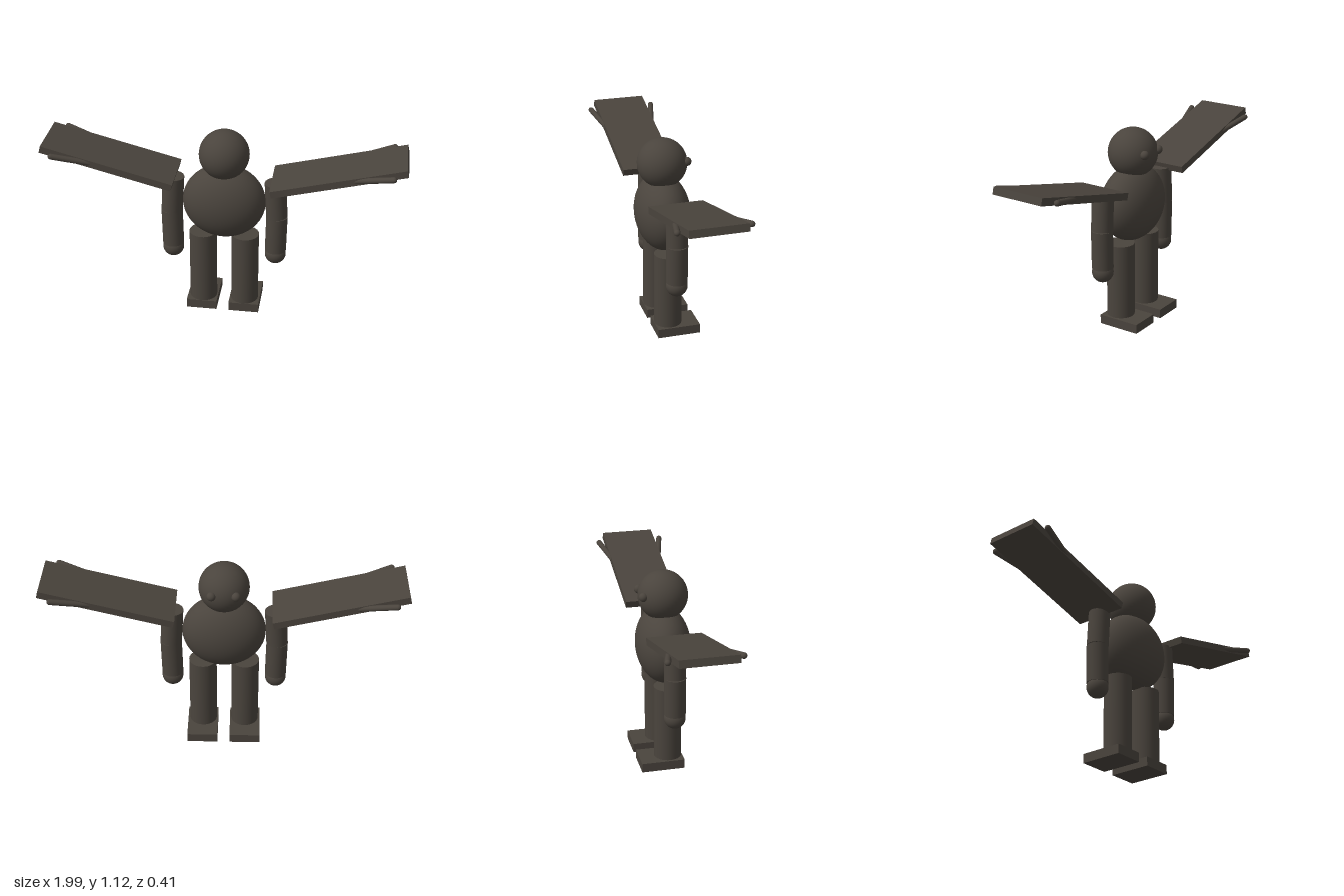
import * as THREE from 'three';

export function createModel() {
  const model = new THREE.Group();
  model.name = 'wingedFigure';
  const material = new THREE.MeshStandardMaterial({ color: 0x4a443d });
  material.name = 'dark brown';

  const add = (name, geometry, x, y, z, parent = model) => {
    const mesh = new THREE.Mesh(geometry, material);
    mesh.name = name;
    mesh.position.set(x, y, z);
    parent.add(mesh);
    return mesh;
  };

  // Round limb segment between two points
  const up = new THREE.Vector3(0, 1, 0);
  const limb = (name, a, b, radius, rounded = false, parent = model) => {
    const start = new THREE.Vector3(...a);
    const axis = new THREE.Vector3(...b).sub(start);
    const length = axis.length();
    const geometry = rounded
      ? new THREE.CapsuleGeometry(radius, length, 6, 16)
      : new THREE.CylinderGeometry(radius, radius, length, 32);
    const middle = start.addScaledVector(axis, 0.5);
    const mesh = add(name, geometry, middle.x, middle.y, middle.z, parent);
    mesh.quaternion.setFromUnitVectors(up, axis.normalize());
    return mesh;
  };

  // Torso and head
  add('torso', new THREE.SphereGeometry(1, 48, 32), 0, 0.69, 0).scale.set(0.232, 0.217, 0.152);
  add('head', new THREE.SphereGeometry(0.139, 40, 28), 0, 0.981, 0);

  for (const s of [1, -1]) {
    const side = s > 0 ? 'left' : 'right';

    // The face, like the toes, points towards -z
    add(side + 'Eye', new THREE.SphereGeometry(0.025, 20, 14), s * 0.066, 1.0, -0.122);

    // Arm
    limb(side + 'UpperArm', [s * 0.284, 0.825, 0], [s * 0.296, 0.615, 0], 0.06);
    limb(side + 'Forearm', [s * 0.297, 0.615, 0], [s * 0.293, 0.395, 0], 0.06);
    add(side + 'Hand', new THREE.SphereGeometry(0.06, 28, 20), s * 0.293, 0.37, 0);

    // Leg
    limb(side + 'Thigh', [s * 0.12, 0.485, 0], [s * 0.12, 0.265, 0], 0.078);
    limb(side + 'Shin', [s * 0.12, 0.265, 0], [s * 0.12, 0.04, 0], 0.078);
    add(side + 'Foot', new THREE.BoxGeometry(0.174, 0.053, 0.245), s * 0.122, 0.0265, -0.043);

    // Wing, raised outwards, with two splayed spars in its plane
    const wing = new THREE.Group();
    wing.name = side + 'Wing';
    wing.position.set(s * 0.27, 0.83, 0);
    wing.rotation.z = s * 0.25;
    model.add(wing);
    add(side + 'WingPanel', new THREE.BoxGeometry(0.745, 0.04, 0.304), s * 0.3725, 0, 0, wing);
    for (const z of [1, -1]) {
      limb(side + 'WingSpar', [s * 0.03, 0, z * 0.03], [s * 0.67, 0, z * 0.188], 0.016, true, wing);
    }
  }
  return model;
}
